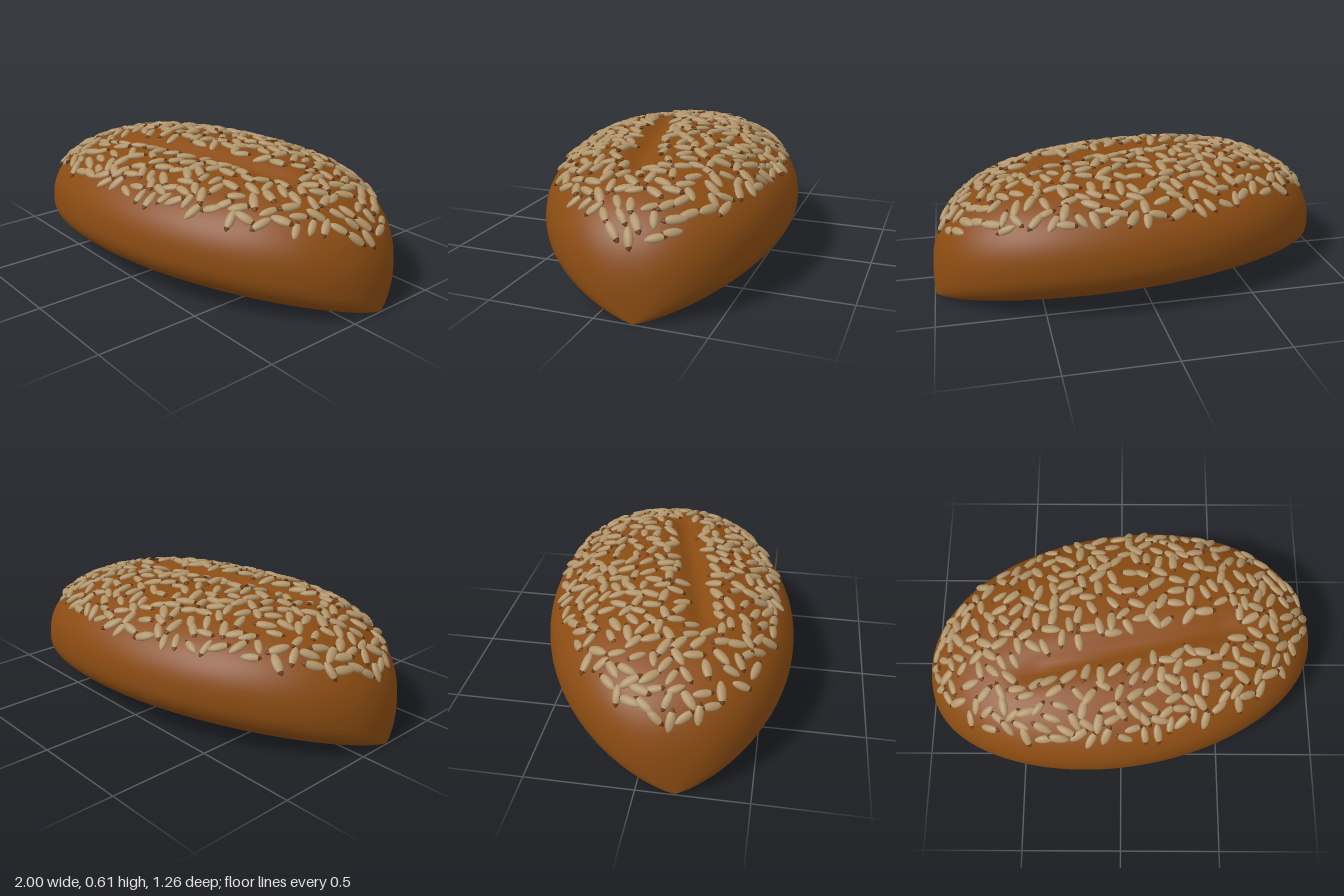
import * as THREE from 'three';
import { ParametricGeometry } from 'three/addons/geometries/ParametricGeometry.js';
import { mergeVertices } from 'three/addons/utils/BufferGeometryUtils.js';

const LEN = 1.01, WID = 0.615, HIGH = 0.585; // half length, half width, full height
const TURN = 0.175;                          // the roll lies slightly turned

const arch = (v, n) => Math.pow(Math.max(0, 1 - Math.pow(Math.abs(v), n)), 1 / n);

// Shallow cut along the crust
function cutDepth(x, z) {
  const across = (z - 0.11 + 0.06 * x) / 0.065;
  const along = THREE.MathUtils.smoothstep(0.68 - Math.abs(x - 0.03), 0, 0.25);
  return 0.045 * along * Math.exp(-across * across);
}

// Height of the crust above a point
function crustY(x, z) {
  const u = x / LEN, h = HIGH * arch(u, 3);
  const w = WID * arch(u, 2) || 1;
  return h * (0.43 + 0.57 * arch(z / w, 2.3)) - cutDepth(x, z);
}

function crustNormal(x, z) {
  const e = 0.01;
  return new THREE.Vector3(
    (crustY(x - e, z) - crustY(x + e, z)) / (2 * e), 1,
    (crustY(x, z - e) - crustY(x, z + e)) / (2 * e)).normalize();
}

// Loaf: rounded sections swept along x, flat underneath, pinched at both ends
function loafGeometry() {
  const geo = new ParametricGeometry((s, t, p) => {
    const u = -Math.cos(Math.PI * s), phi = -Math.PI / 2 + 2 * Math.PI * t;
    const x = u * LEN, v = Math.cos(phi), z = v * WID * arch(u, 2);
    const h = HIGH * arch(u, 3);
    const y = Math.sin(phi) >= 0
      ? h * (0.43 + 0.57 * arch(v, 2.3)) - cutDepth(x, z)
      : h * 0.43 * (1 - arch(v, 2.2));
    p.set(x, y, z);
  }, 110, 128);
  geo.deleteAttribute('normal');
  geo.deleteAttribute('uv');
  const merged = mergeVertices(geo, 1e-5);
  merged.computeVertexNormals();
  return merged;
}

// Seed pieces: flattened lathes along y
function seedPiece(profile) {
  const geo = new THREE.LatheGeometry(profile.map(([r, y]) => new THREE.Vector2(r, y)), 10);
  geo.scale(1, 1, 0.65);
  return geo;
}

export function createModel() {
  const crust = new THREE.MeshStandardMaterial({ name: 'brown crust', color: 0x8a4b12 });
  const kernel = new THREE.MeshStandardMaterial({ name: 'tan seed', color: 0xb0946a });
  const dark = new THREE.MeshStandardMaterial({ name: 'dark seed tip', color: 0x6b3a14 });

  const model = new THREE.Group();
  model.name = 'seededRoll';
  const roll = new THREE.Group();
  roll.name = 'roll';
  roll.rotation.y = TURN;
  model.add(roll);

  const loaf = new THREE.Mesh(loafGeometry(), crust);
  loaf.name = 'loaf';
  roll.add(loaf);

  const kernelGeo = seedPiece([[0, -0.05], [0.009, -0.044], [0.017, -0.027], [0.02, -0.005],
    [0.019, 0.015], [0.013, 0.033]]);
  const tipGeo = seedPiece([[0.013, 0.033], [0.007, 0.045], [0, 0.052]]);

  let state = 7;
  const rand = () => (state = (state * 16807) % 2147483647) / 2147483647;

  // Seeds scattered over the top, spaced apart and clear of the cut
  const spots = [];
  for (let i = 0; i < 12000 && spots.length < 345; i++) {
    const x = (rand() * 2 - 1) * 0.94, z = (rand() * 2 - 1) * 0.53;
    if ((x / 0.94) ** 2 + (z / 0.53) ** 2 > 1) continue;
    if (cutDepth(x, z) > 0.012) continue;
    const p = new THREE.Vector3(x, crustY(x, z), z);
    if (spots.some(q => q.distanceTo(p) < 0.057)) continue;
    spots.push(p);

    const n = crustNormal(x, z);
    const a = rand() * Math.PI * 2;
    const dir = new THREE.Vector3(Math.cos(a), 0, Math.sin(a)).projectOnPlane(n).normalize();
    dir.addScaledVector(n, (rand() - 0.5) * 0.3).normalize();
    const side = new THREE.Vector3().crossVectors(dir, n).normalize();
    const up = new THREE.Vector3().crossVectors(side, dir);

    const seed = new THREE.Group();
    seed.name = 'seed';
    seed.quaternion.setFromRotationMatrix(new THREE.Matrix4().makeBasis(side, dir, up));
    seed.position.copy(p).addScaledVector(n, 0.006);
    seed.scale.setScalar(0.9 + 0.25 * rand());
    const body = new THREE.Mesh(kernelGeo, kernel);
    body.name = 'seedKernel';
    const tip = new THREE.Mesh(tipGeo, dark);
    tip.name = 'seedTip';
    seed.add(body, tip);
    roll.add(seed);
  }
  return model;
}
